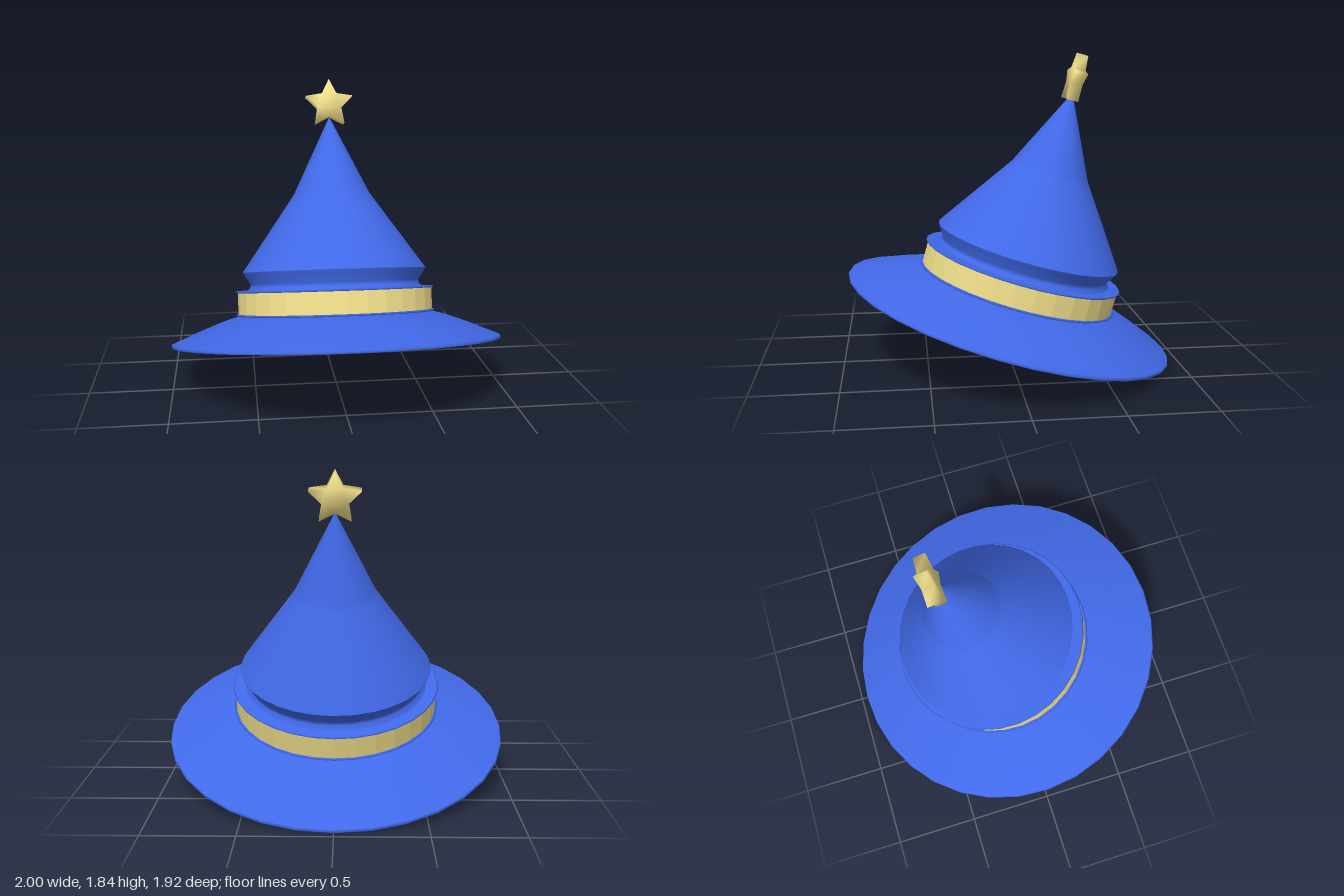
import * as THREE from 'three';
import { mergeVertices } from 'three/addons/utils/BufferGeometryUtils.js';

const SIDES = 32;
const TILT = -0.276;

export function createModel() {
  const model = new THREE.Group();
  model.name = 'wizardHat';

  // everything is built upright, then leaned back
  const hat = new THREE.Group();
  hat.name = 'tiltedHat';
  hat.rotation.x = TILT;
  hat.position.y = 0.276;
  model.add(hat);

  const blue = new THREE.MeshStandardMaterial({ color: 0x4169e8 });
  const gold = new THREE.MeshStandardMaterial({ color: 0xf0de8a });
  const goldFlat = new THREE.MeshStandardMaterial({ color: 0xf0de8a, flatShading: true });

  const add = (name, geometry, material) => {
    const mesh = new THREE.Mesh(geometry, material);
    mesh.name = name;
    hat.add(mesh);
    return mesh;
  };
  // profile of [radius, height] pairs, outside surfaces running upwards
  const lathe = (name, profile, material) =>
    add(name, new THREE.LatheGeometry(profile.map(([r, h]) => new THREE.Vector2(r, h)), SIDES), material);

  // brim: thin outer edge and sloping top
  lathe('brimEdge', [[0.995, 0], [1, 0.008], [0.995, 0.018]], blue);
  lathe('brimTop', [[0.995, 0.018], [0.8, 0.1], [0.68, 0.145], [0.575, 0.175]], blue);

  // hollow inside, from the peak down and out to the brim edge
  lathe('crownLining', [[0, 1.34], [0.21, 0.9], [0.525, 0.43], [0.49, 0.36], [0.49, 0.28]], blue);
  lathe('innerRoll', [[0.49, 0.28], [0.53, 0.25], [0.55, 0.215], [0.55, 0.19], [0.565, 0.17], [0.6, 0.16]], blue);
  lathe('brimUnderside', [[0.6, 0.16], [0.68, 0.115], [0.8, 0.07], [0.995, 0]], blue);

  // hat band between two thin trims
  add('band', new THREE.CylinderGeometry(0.594, 0.594, 0.14, SIDES, 1, true).translate(0, 0.248, 0), goldFlat);
  for (const [name, h] of [['lowerTrim', 0.172], ['upperTrim', 0.313]]) {
    lathe(name, [[0.56, h], [0.6, h], [0.607, h + 0.006], [0.6, h + 0.012], [0.53, h + 0.012]], blue);
  }

  // crown: tucked in above the band, bulging, then bending in to the peak
  lathe('crownTuck', [[0.54, 0.32], [0.517, 0.345], [0.517, 0.365], [0.553, 0.42], [0.561, 0.436]], blue);
  lathe('crown', [[0.561, 0.436], [0.551, 0.452], [0.242, 0.897], [0.231, 0.915], [0.222, 0.934], [0, 1.39]], blue);

  // five-pointed star on the peak, softly shaded
  const shape = new THREE.Shape();
  for (let i = 0; i < 10; i++) {
    const r = i % 2 ? 0.077 : 0.152;
    const a = Math.PI / 2 + (i * Math.PI) / 5;
    shape[i ? 'lineTo' : 'moveTo'](r * Math.cos(a), r * Math.sin(a));
  }
  shape.closePath();
  let starGeometry = new THREE.ExtrudeGeometry(shape, { depth: 0.072, bevelEnabled: false });
  starGeometry.deleteAttribute('uv');
  starGeometry.deleteAttribute('normal');
  starGeometry = mergeVertices(starGeometry);
  starGeometry.computeVertexNormals();
  add('star', starGeometry, gold).position.set(0, 1.468, -0.03);

  return model;
}
